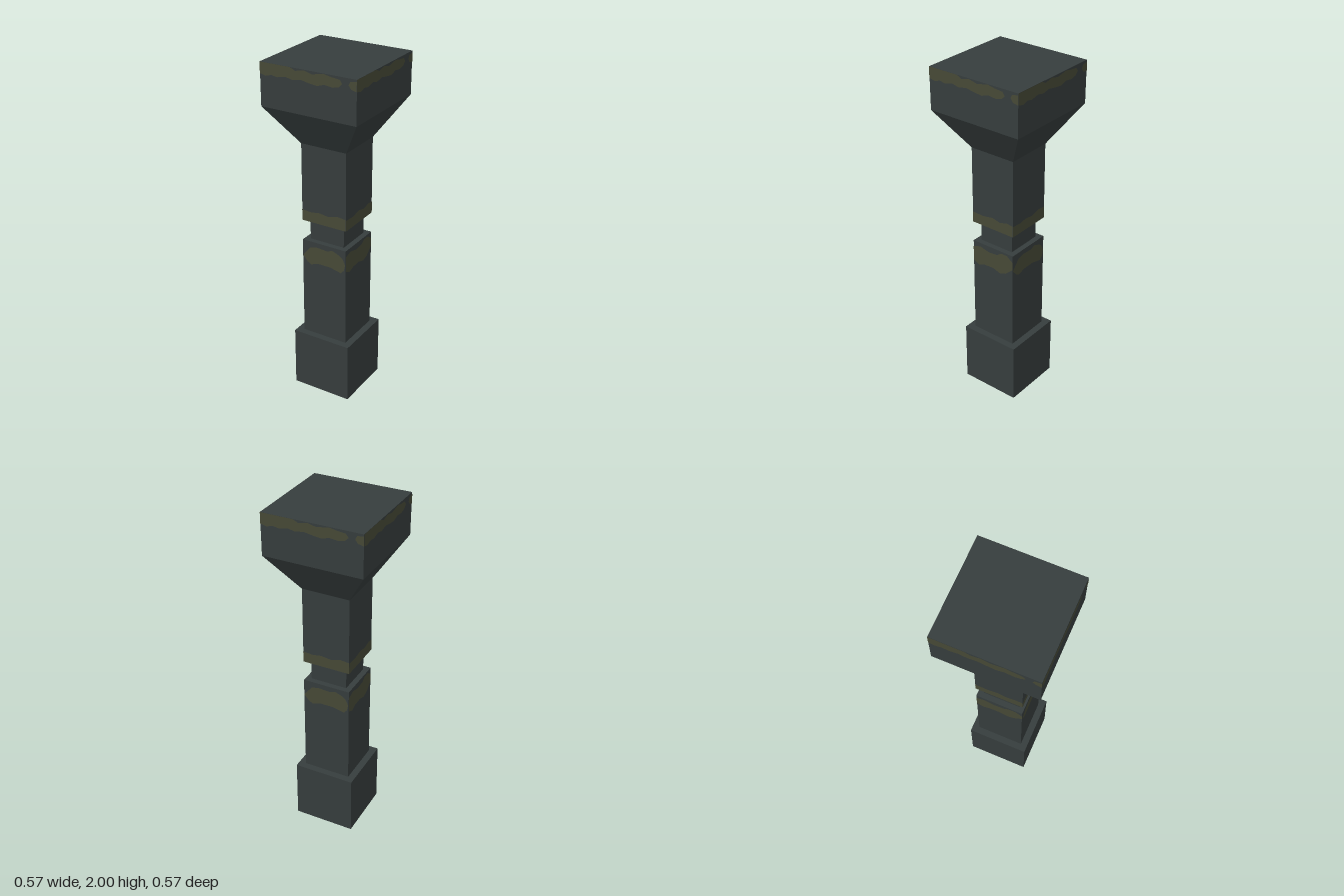
import * as THREE from 'three';

export function createModel() {
  const stone = new THREE.MeshStandardMaterial({ color: 0x363d3d });
  stone.name = 'dark stone';
  const moss = new THREE.MeshStandardMaterial({ color: 0x474936 });
  moss.name = 'moss stain';
  const model = new THREE.Group();
  model.name = 'pillar';

  // Square block given by half width and bottom/top heights
  const block = (name, half, y0, y1) => {
    const mesh = new THREE.Mesh(new THREE.BoxGeometry(half * 2, y1 - y0, half * 2), stone);
    mesh.position.y = (y0 + y1) / 2;
    mesh.name = name;
    model.add(mesh);
  };
  block('base', 0.18, 0, 0.36);
  block('lowerShaft', 0.14, 0.36, 0.957);
  block('neck', 0.108, 0.957, 1.08);
  block('upperShaft', 0.14, 1.08, 1.535);
  block('cap', 0.286, 1.76, 2);

  // Flare between the upper shaft and the cap
  let flareGeo = new THREE.CylinderGeometry(0.286 * Math.SQRT2, 0.14 * Math.SQRT2, 0.225, 4, 1, true);
  flareGeo = flareGeo.rotateY(Math.PI / 4).toNonIndexed();
  flareGeo.computeVertexNormals();
  const flare = new THREE.Mesh(flareGeo, stone);
  flare.position.y = 1.6475;
  flare.name = 'flare';
  model.add(flare);

  // Stain outlines as [across, height] points on a face
  const capStain = [[-0.286, 2], [-0.286, 1.938], [-0.25, 1.93], [-0.215, 1.94], [-0.18, 1.934], [-0.13, 1.945],
    [-0.09, 1.936], [-0.04, 1.945], [0.01, 1.936], [0.06, 1.93], [0.1, 1.943], [0.15, 1.937], [0.185, 1.945],
    [0.205, 1.965], [0.19, 1.985], [0.14, 1.99], [0.1, 1.998], [0.03, 1.985], [-0.02, 1.997], [-0.07, 1.986], [-0.1, 2]];
  const cornerStain = [[0.286, 1.99], [0.25, 1.985], [0.24, 1.965], [0.255, 1.945], [0.286, 1.938]];
  const upperFront = [[-0.14, 1.08], [0.14, 1.08], [0.14, 1.15], [0.09, 1.155], [0.03, 1.14], [-0.03, 1.148], [-0.08, 1.14], [-0.14, 1.145]];
  const upperSide = [[-0.14, 1.08], [0.14, 1.08], [0.14, 1.148], [0.1, 1.152], [0.05, 1.14], [0, 1.152], [-0.07, 1.14], [-0.14, 1.145]];
  const lowerFront = [[-0.14, 0.86], [-0.11, 0.825], [-0.085, 0.812], [-0.04, 0.828], [0.04, 0.828], [0.11, 0.812],
    [0.13, 0.835], [0.137, 0.87], [0.12, 0.905], [0.1, 0.92], [0.055, 0.937], [0.02, 0.925], [-0.05, 0.93], [-0.09, 0.92]];
  const lowerSide = [[-0.14, 0.83], [-0.1, 0.81], [-0.06, 0.825], [0, 0.828], [0.05, 0.812], [0.09, 0.825], [0.14, 0.87],
    [0.14, 0.915], [0.1, 0.945], [0.06, 0.945], [0.03, 0.925], [-0.03, 0.92], [-0.09, 0.935], [-0.14, 0.92]];

  const stain = (name, points, half, face) => {
    const shape = new THREE.Shape(points.map(([x, y]) => new THREE.Vector2(x, y)));
    const geo = new THREE.ShapeGeometry(shape).translate(0, 0, half + 0.0015);
    const mesh = new THREE.Mesh(geo, moss);
    mesh.rotation.y = face * Math.PI / 2;
    mesh.name = name;
    model.add(mesh);
  };

  // Opposite faces share the same stains
  for (let face = 0; face < 4; face++) {
    const side = face % 2 === 1;
    stain('capMoss', capStain, 0.286, face);
    stain('capCornerMoss', cornerStain, 0.286, face);
    stain('upperShaftMoss', side ? upperSide : upperFront, 0.14, face);
    stain('lowerShaftMoss', side ? lowerSide : lowerFront, 0.14, face);
  }
  return model;
}
